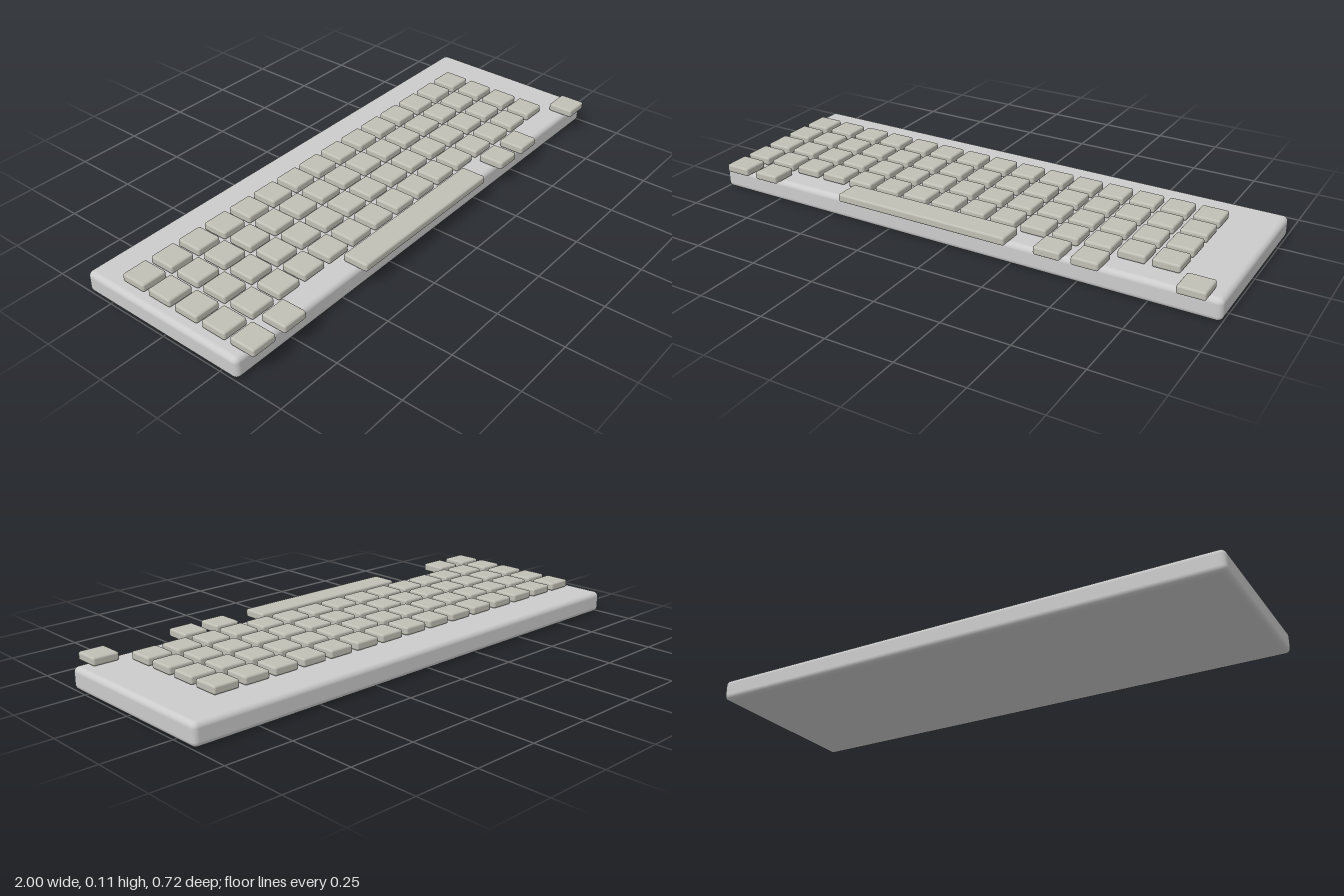
import * as THREE from 'three';
import { RoundedBoxGeometry } from 'three/addons/geometries/RoundedBoxGeometry.js';

const KEY = 0.099, KEY_HEIGHT = 0.031, KEY_Y = 0.0985;
const PITCH = 0.1204, FIRST_X = -0.91, FRONT_Z = 0.3085;

export function createModel() {
  const model = new THREE.Group();
  model.name = 'keyboard';
  const caseMaterial = new THREE.MeshStandardMaterial({ color: 0xcccccc });
  const keyMaterial = new THREE.MeshStandardMaterial({ color: 0xbfbfb5 });

  // Case: a slab with rounded edges
  const body = new THREE.Mesh(new RoundedBoxGeometry(2, 0.082, 0.68, 4, 0.02), caseMaterial);
  body.name = 'case';
  body.position.set(0, 0.041, -0.017);
  model.add(body);

  const keys = new THREE.Group();
  keys.name = 'keys';
  model.add(keys);

  const keyGeometry = new RoundedBoxGeometry(KEY, KEY_HEIGHT, KEY, 2, 0.008);
  const addKey = (name, x, z, geometry = keyGeometry) => {
    const key = new THREE.Mesh(geometry, keyMaterial);
    key.name = name;
    key.position.set(x, KEY_Y, z);
    keys.add(key);
  };

  // Four full rows of fifteen square keys
  for (let row = 1; row <= 4; row++) {
    for (let col = 0; col < 15; col++) {
      addKey(`keyRow${row}Column${col + 1}`, FIRST_X + col * PITCH, FRONT_Z - row * PITCH);
    }
  }

  // Front row: modifier keys around the space bar, overhanging the case
  [-0.91, -0.773, 0.407, 0.545, 0.906].forEach((x, i) => addKey(`modifierKey${i + 1}`, x, FRONT_Z));
  addKey('spaceBar', -0.092, FRONT_Z, new RoundedBoxGeometry(0.683, KEY_HEIGHT, KEY, 2, 0.008));

  return model;
}
